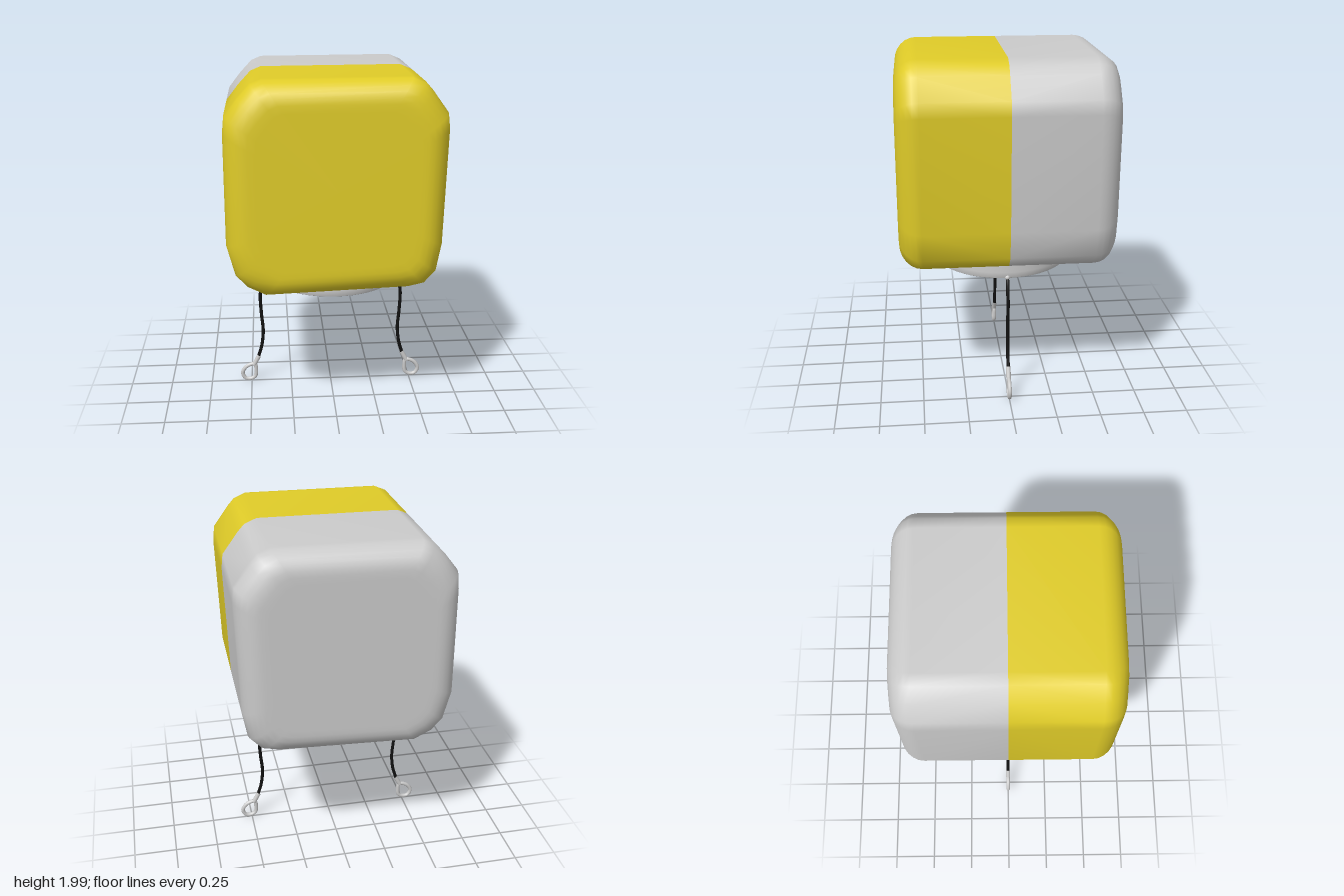
import * as THREE from 'three';
import { mergeGeometries, mergeVertices } from 'three/addons/utils/BufferGeometryUtils.js';

const grey = new THREE.MeshStandardMaterial({ color: 0xcccccc });
const greyShell = new THREE.MeshStandardMaterial({ color: 0xcccccc, side: THREE.DoubleSide });
const yellowShell = new THREE.MeshStandardMaterial({ color: 0xe0cc28, side: THREE.DoubleSide });
const black = new THREE.MeshStandardMaterial({ color: 0x111111 });

// Outline of the shell in x/y, counter-clockwise; the first segment is the floor
const outline = [
  [-0.4, 0.79], [0.4, 0.82], [0.49, 0.84], [0.555, 0.91], [0.585, 1.07],
  [0.606, 1.72], [0.597, 1.8], [0.51, 1.92], [0.47, 1.965], [0.4, 1.995],
  [-0.4, 1.99], [-0.46, 1.965], [-0.53, 1.89], [-0.6, 1.8], [-0.61, 1.7],
  [-0.61, 1.08], [-0.565, 0.91], [-0.5, 0.84],
];
const midY = 1.4, half = 0.612, bevel = 0.13, holeRadius = 0.36;

// Front half of the hollow shell: straight walls, rounded edge, cap, floor with a half hole
function halfShell(sign) {
  const rows = [[0, 0], [half - bevel, 0]];
  for (let k = 1; k <= 6; k++) {
    const a = (k / 6) * Math.PI / 2;
    rows.push([half - bevel + bevel * Math.sin(a), bevel * (1 - Math.cos(a))]);
  }
  rows.push([half, bevel + 0.04]);
  const n = outline.length, pos = [], idx = [];
  for (const [z, inset] of rows) {
    const s = 1 - inset / half;
    for (const [x, y] of outline) pos.push(x * s, midY + (y - midY) * s, z);
  }
  for (let k = 0; k < rows.length - 1; k++) {
    for (let i = 0; i < n; i++) {
      if (k === 0 && i === 0) continue; // the floor plate goes here
      const j = (i + 1) % n, a = k * n + i, b = k * n + j;
      idx.push(a, b, b + n, a, b + n, a + n);
    }
  }
  const last = (rows.length - 1) * n;
  pos.push(0, midY, half);
  for (let i = 0; i < n; i++) idx.push(last + n, last + i, last + (i + 1) % n);
  const walls = new THREE.BufferGeometry();
  walls.setAttribute('position', new THREE.Float32BufferAttribute(pos, 3));
  walls.setIndex(idx);

  const plate = new THREE.Shape();
  plate.moveTo(0.4, 0);
  plate.lineTo(0.4, half - bevel);
  plate.lineTo(-0.4, half - bevel);
  plate.lineTo(-0.4, 0);
  plate.lineTo(-holeRadius, 0);
  plate.absarc(0, 0, holeRadius, Math.PI, 0, true);
  const floor = new THREE.ShapeGeometry(plate, 24);
  floor.deleteAttribute('normal');
  floor.deleteAttribute('uv');
  const p = floor.attributes.position;
  for (let i = 0; i < p.count; i++) {
    const x = p.getX(i), z = p.getY(i);
    p.setXYZ(i, x, 0.805 + x * 0.0375, z); // floor follows the slight tilt
  }

  const geo = mergeVertices(mergeGeometries([walls, floor]), 1e-4);
  if (sign < 0) { // mirror in z and turn the faces round
    geo.scale(1, 1, -1);
    const index = geo.index;
    for (let i = 0; i < index.count; i += 3) {
      const t = index.getX(i);
      index.setX(i, index.getX(i + 1));
      index.setX(i + 1, t);
    }
  }
  geo.computeVertexNormals();
  return geo;
}

function add(parent, name, geometry, material) {
  const mesh = new THREE.Mesh(geometry, material);
  mesh.name = name;
  parent.add(mesh);
  return mesh;
}

// Cord with a sleeve and a teardrop loop, on the side given by s
function cord(s) {
  const g = new THREE.Group();
  const curve = (pts, closed) => new THREE.CatmullRomCurve3(
    pts.map(([x, y]) => new THREE.Vector3(s * x, y, 0)), closed);
  const path = curve([[0.39, 0.735], [0.415, 0.69], [0.434, 0.6], [0.431, 0.47],
    [0.422, 0.35], [0.433, 0.25], [0.457, 0.17]], false);
  add(g, 'cord', new THREE.TubeGeometry(path, 40, 0.01, 8), black);
  add(g, 'cordAnchor', new THREE.SphereGeometry(0.015, 12, 8), grey).position.set(s * 0.395, 0.728, 0);
  const sleeve = curve([[0.45, 0.182], [0.484, 0.118]], false);
  add(g, 'sleeve', new THREE.TubeGeometry(sleeve, 2, 0.014, 12), grey);
  const loop = curve([[0.48, 0.122], [0.53, 0.108], [0.557, 0.065], [0.54, 0.028],
    [0.505, 0.023], [0.478, 0.04], [0.472, 0.08]], true);
  add(g, 'pullLoop', new THREE.TubeGeometry(loop, 40, 0.012, 8, true), grey);
  return g;
}

export function createModel() {
  const model = new THREE.Group();
  add(model, 'frontShell', halfShell(1), yellowShell);
  add(model, 'backShell', halfShell(-1), greyShell);

  // Neck ring with a rounded inner lip
  const profile = [[0.335, 0.83], [0.33, 0.77], [0.34, 0.738], [0.365, 0.724],
    [0.39, 0.722], [0.4, 0.728], [0.402, 0.76], [0.4, 0.83]];
  add(model, 'neckRing', new THREE.LatheGeometry(
    profile.map(([x, y]) => new THREE.Vector2(x, y)), 48), greyShell);

  for (const s of [1, -1]) {
    const g = cord(s);
    g.name = s > 0 ? 'leftCord' : 'rightCord';
    model.add(g);
  }
  return model;
}
